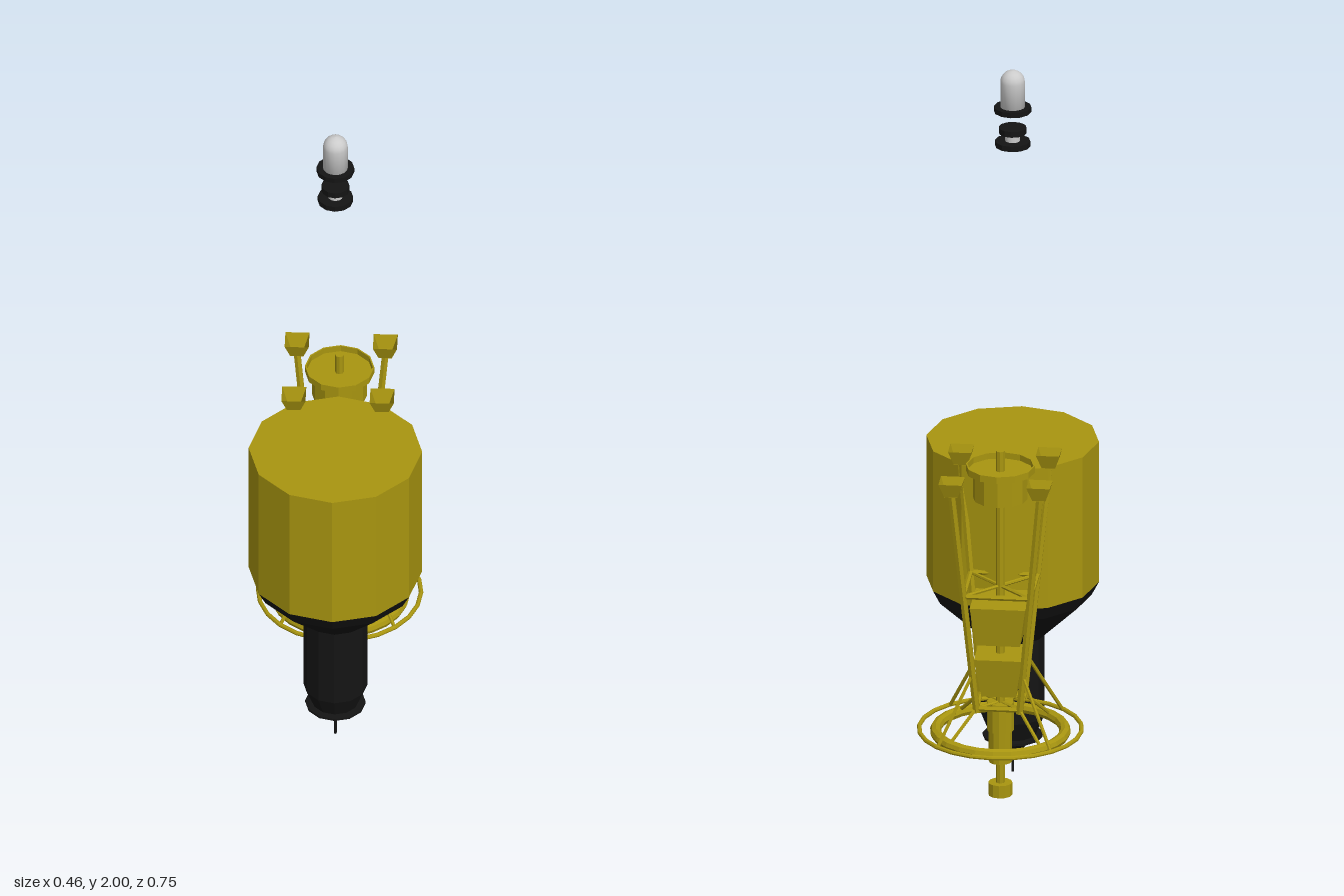
import * as THREE from 'three';

const yellow = new THREE.MeshStandardMaterial({ color: 0xa89510, flatShading: true });
const yellowOpen = new THREE.MeshStandardMaterial({ color: 0xa89510, flatShading: true, side: THREE.DoubleSide });
const black = new THREE.MeshStandardMaterial({ color: 0x141414, flatShading: true });
const grey = new THREE.MeshStandardMaterial({ color: 0xcccccc });

function add(parent, name, geometry, material, x = 0, y = 0, z = 0) {
  const mesh = new THREE.Mesh(geometry, material);
  mesh.name = name;
  mesh.position.set(x, y, z);
  parent.add(mesh);
  return mesh;
}

// Upright cylinder or cone between two heights
function column(parent, name, y0, y1, r0, r1, material, sides = 12) {
  return add(parent, name, new THREE.CylinderGeometry(r1, r0, y1 - y0, sides), material, 0, (y0 + y1) / 2, 0);
}

// Straight bar between two points
function bar(parent, name, a, b, r, sides = 6) {
  const from = new THREE.Vector3(...a), to = new THREE.Vector3(...b);
  const dir = to.clone().sub(from);
  const mesh = add(parent, name, new THREE.CylinderGeometry(r, r, dir.length(), sides), yellow);
  mesh.position.copy(from).add(to).multiplyScalar(0.5);
  mesh.quaternion.setFromUnitVectors(new THREE.Vector3(0, 1, 0), dir.normalize());
  return mesh;
}

// Square frustum with sides along x and z; h0 and h1 are half widths
function squareFrustum(h0, h1, height, open = false) {
  return new THREE.CylinderGeometry(h1 * Math.SQRT2, h0 * Math.SQRT2, height, 4, 1, open).rotateY(Math.PI / 4);
}

function lathe(points, sides = 12) {
  return new THREE.LatheGeometry(points.map(([r, y]) => new THREE.Vector2(r, y)), sides);
}

function createBuoy() {
  const buoy = new THREE.Group();
  buoy.name = 'buoy';
  column(buoy, 'floatBody', 0.55, 0.95, 0.23, 0.23, yellow);
  // Dark hull narrowing into the lower tube and pointed foot
  add(buoy, 'lowerHull', lathe([
    [0, 0.06], [0.025, 0.065], [0.06, 0.1], [0.08, 0.102], [0.08, 0.108], [0.062, 0.11],
    [0.085, 0.165], [0.085, 0.395], [0.21, 0.512], [0.23, 0.55],
  ]), black);
  column(buoy, 'bottomSpike', 0, 0.07, 0.004, 0.004, black, 6);
  return buoy;
}

function createLantern() {
  const lantern = new THREE.Group();
  lantern.name = 'lantern';
  column(lantern, 'lowerPlate', 1.785, 1.8, 0.047, 0.047, black);
  column(lantern, 'neck', 1.8, 1.822, 0.02, 0.02, grey);
  column(lantern, 'upperPlate', 1.822, 1.838, 0.037, 0.037, black);
  column(lantern, 'lampFlange', 1.883, 1.897, 0.05, 0.05, black);
  // Domed lens
  const dome = [[0, 1.895], [0.033, 1.895]];
  for (let i = 0; i <= 5; i++) {
    const a = (i / 5) * Math.PI / 2;
    dome.push([0.033 * Math.cos(a), 1.967 + 0.033 * Math.sin(a)]);
  }
  add(lantern, 'lens', lathe(dome, 16), grey);
  return lantern;
}

function createTower() {
  const tower = new THREE.Group();
  tower.name = 'frameTower';
  const legOffset = y => 0.058 + (y - 0.32) * 0.094;

  // Central mast and its counterweight
  column(tower, 'counterweight', 0.055, 0.09, 0.032, 0.032, yellow);
  column(tower, 'lowerRod', 0.09, 0.15, 0.012, 0.012, yellow, 8);
  column(tower, 'lowerSleeve', 0.15, 0.24, 0.031, 0.031, yellow);
  column(tower, 'upperSleeve', 0.24, 0.32, 0.036, 0.036, yellow);
  column(tower, 'mast', 0.31, 1.035, 0.012, 0.012, yellow, 8);

  // Tapered housings
  add(tower, 'lowerHousing', squareFrustum(0.046, 0.064, 0.11), yellow, 0, 0.405, 0);
  add(tower, 'upperHousing', squareFrustum(0.058, 0.074, 0.11), yellow, 0, 0.555, 0);

  // Head drum with a shallow open dish
  column(tower, 'headDrum', 0.9, 0.975, 0.073, 0.073, yellow);
  add(tower, 'headDish', lathe([[0, 0.974], [0.073, 0.974], [0.092, 0.976], [0.092, 0.995], [0.088, 0.995], [0.088, 0.978], [0, 0.978]]), yellowOpen);

  // Base rings
  const ring = (name, R, r, y, n) => add(tower, name, new THREE.TorusGeometry(R, r, 8, n).rotateX(Math.PI / 2), yellow, 0, y, 0);
  ring('innerRing', 0.172, 0.015, 0.237, 24);
  ring('outerRing', 0.216, 0.006, 0.243, 24);

  for (const sx of [-1, 1]) for (const sz of [-1, 1]) {
    const at = (d, y) => [sx * d, y, sz * d];
    // Splayed leg with an open cup on top
    bar(tower, 'leg', at(legOffset(0.31), 0.31), at(legOffset(0.955), 0.955), 0.01);
    add(tower, 'cup', squareFrustum(0.018, 0.032, 0.04, true), yellowOpen, sx * 0.117, 0.97, sz * 0.117);
    add(tower, 'cupFloor', new THREE.BoxGeometry(0.036, 0.004, 0.036), yellow, sx * 0.117, 0.951, sz * 0.117);
    // Braces down to the rings
    bar(tower, 'outerBrace', at(0.15, 0.243), at(legOffset(0.42), 0.42), 0.005);
    bar(tower, 'innerBrace', at(0.12, 0.243), at(legOffset(0.32), 0.32), 0.005);
    // Spokes from the mast to the legs
    for (const y of [0.32, 0.65]) bar(tower, 'spoke', [0, y, 0], at(legOffset(y), y), 0.005);
  }

  // Square frames joining the legs
  for (const y of [0.32, 0.65]) {
    const d = legOffset(y);
    for (const s of [-1, 1]) {
      bar(tower, 'frameBar', [-d, y, s * d], [d, y, s * d], 0.007);
      bar(tower, 'frameBar', [s * d, y, -d], [s * d, y, d], 0.007);
    }
  }
  return tower;
}

export function createModel() {
  const model = new THREE.Group();
  model.name = 'buoyWithFrame';
  const buoy = createBuoy(), lantern = createLantern(), tower = createTower();
  buoy.position.z = lantern.position.z = 0.147;
  tower.position.z = -0.155;
  model.add(buoy, lantern, tower);
  return model;
}
